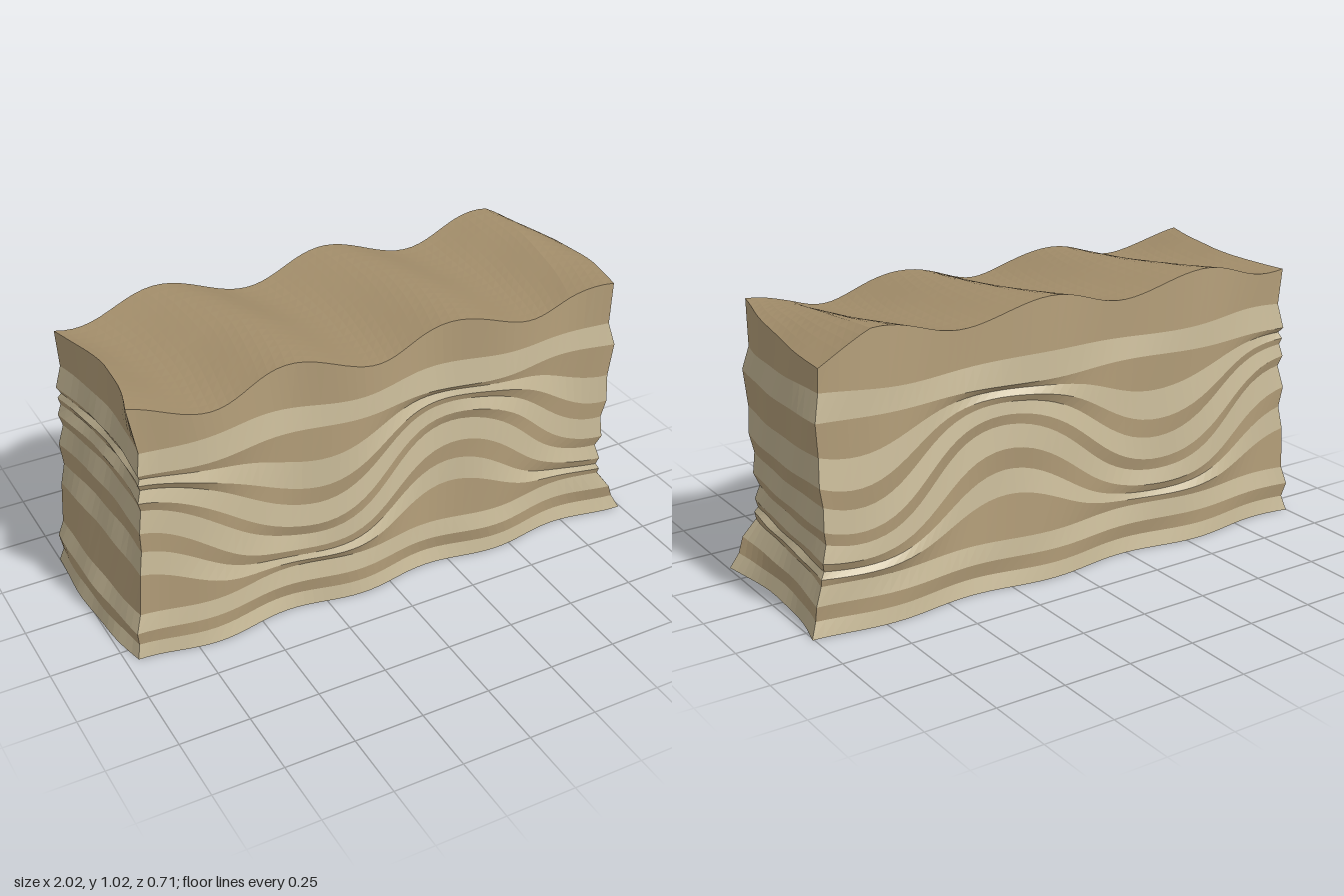
import * as THREE from 'three';

const { cos, sin, exp, max, PI } = Math;
const wave = (v, peak, period) => cos(2 * PI * (v - peak) / period);
const lerp = THREE.MathUtils.lerp;

// Relative heights of the folded beds between the two flat unconformities
const FOLDS = [0, 0.12, 0.21, 0.32, 0.48, 0.58, 0.72, 0.81, 0.91, 1];
const FLAT = [0, 0.055, 0.11];
const LAYERS = FLAT.length + FOLDS.length + 1;

// Anticline and syncline; the fold is longer on the left of the syncline
function fold(x) {
  return x < -0.32 ? -wave(x, -0.32, 1.35) : wave(x, 0.28, 1.2);
}

// Rolling ground that drops off towards the right end, most at the back
function ground(x, z) {
  const b = z / 0.32;
  const drop = 0.036 - 0.024 * b;
  return 0.968 - 0.045 * z + 0.036 * wave(x - z / 3, 0.2, 0.65)
    - drop * max(0, x - 0.78) / 0.17;
}

// Height of bed boundary i at a point in plan
function height(i, x, z) {
  if (i < FLAT.length) return FLAT[i];
  const f = i - FLAT.length;
  if (f < FOLDS.length) {
    const push = exp(1.17 * fold(x - 0.1 * z));
    const t = FOLDS[f];
    return 0.175 + 0.555 * (t * push) / (t * push + 1 - t);
  }
  if (f === FOLDS.length) return 0.815 + 0.01 * wave(x - z / 3, 0.2, 0.9);
  return ground(x, z);
}

// Eroded end faces (b runs from -1 at the back to 1 at the front)
function rightEnd(y, b) {
  const foot = exp(-((y / (0.19 - 0.06 * b)) ** 2));
  return 0.92 - 0.025 * b + 0.012 * wave(y, 0.65, 0.8) + 0.03 * y * (1 - b * b)
    + foot * (0.07 + 0.02 * b - 0.04 * (1 - b * b));
}
function leftEnd(y, b) {
  const foot = exp(-((y / 0.3) ** 2));
  const lip = exp(-(((1 - y) / 0.13) ** 2));
  return -(0.922 - 0.02 * b - 0.04 * y * (1 - b * b) + 0.008 * wave(y, 0.5, 1)
    + foot * (0.06 + 0.025 * (1 - b * b)) + lip * 0.03 * max(0, b));
}

// Point on boundary i; a and b run from -1 to 1 across the block
function place(i, a, b) {
  const y = height(i, a * 0.95, b * 0.32);
  // alternate boundaries stand out or are worn back
  const ledge = (i % 2 === 0 ? 0.005 : -0.005) + 0.002 * sin(9 * a + 7 * b + 2 * i);
  const x = lerp(leftEnd(y, b) - ledge, rightEnd(y, b) + ledge, (a + 1) / 2);
  const front = 0.328 - 0.014 * y + 0.02 * wave(x, -0.12, 0.56) + ledge;
  const back = -0.329 + 0.012 * x + 0.012 * y - 0.018 * wave(x, 0.08, 0.63) - ledge;
  return [x, y, lerp(back, front, (b + 1) / 2)];
}

// Surface from a grid of points: columns run right, rows run up as seen from outside
function surface(cols, rows, point) {
  const pos = [], index = [];
  for (let r = 0; r <= rows; r++)
    for (let c = 0; c <= cols; c++) pos.push(...point(c, r));
  for (let r = 0; r < rows; r++)
    for (let c = 0; c < cols; c++) {
      const p = r * (cols + 1) + c, q = p + cols + 1;
      index.push(p, p + 1, q + 1, p, q + 1, q);
    }
  const g = new THREE.BufferGeometry();
  g.setAttribute('position', new THREE.Float32BufferAttribute(pos, 3));
  g.setIndex(index);
  g.computeVertexNormals();
  return g;
}

export function createModel() {
  const group = new THREE.Group();
  group.name = 'foldedRockBlock';
  const rock = color => new THREE.MeshStandardMaterial({ color, flatShading: true });
  const light = rock(0xc8ba98), tan = rock(0xb9a37d), soil = rock(0xa28d6a);
  const add = (name, geometry, material) => {
    const m = new THREE.Mesh(geometry, material);
    m.name = name;
    group.add(m);
  };

  // Perimeter of the block: front, right end, back, left end
  const NX = 56, NZ = 16, ring = [];
  for (let k = 0; k < NX; k++) ring.push([-1 + 2 * k / NX, 1]);
  for (let k = 0; k < NZ; k++) ring.push([1, 1 - 2 * k / NZ]);
  for (let k = 0; k < NX; k++) ring.push([1 - 2 * k / NX, -1]);
  for (let k = 0; k < NZ; k++) ring.push([-1, -1 + 2 * k / NZ]);
  ring.push(ring[0]);

  // Rock beds in alternating shades
  for (let i = 0; i < LAYERS; i++)
    add(`rockBed${i + 1}`,
      surface(ring.length - 1, 1, (c, r) => place(i + r, ...ring[c])),
      i % 2 ? tan : light);

  // Undulating ground on top and flat underside
  add('groundSurface',
    surface(NX, NZ, (c, r) => place(LAYERS, -1 + 2 * c / NX, 1 - 2 * r / NZ)), soil);
  add('underside',
    surface(NX, NZ, (c, r) => place(0, -1 + 2 * c / NX, -1 + 2 * r / NZ)), soil);
  return group;
}
